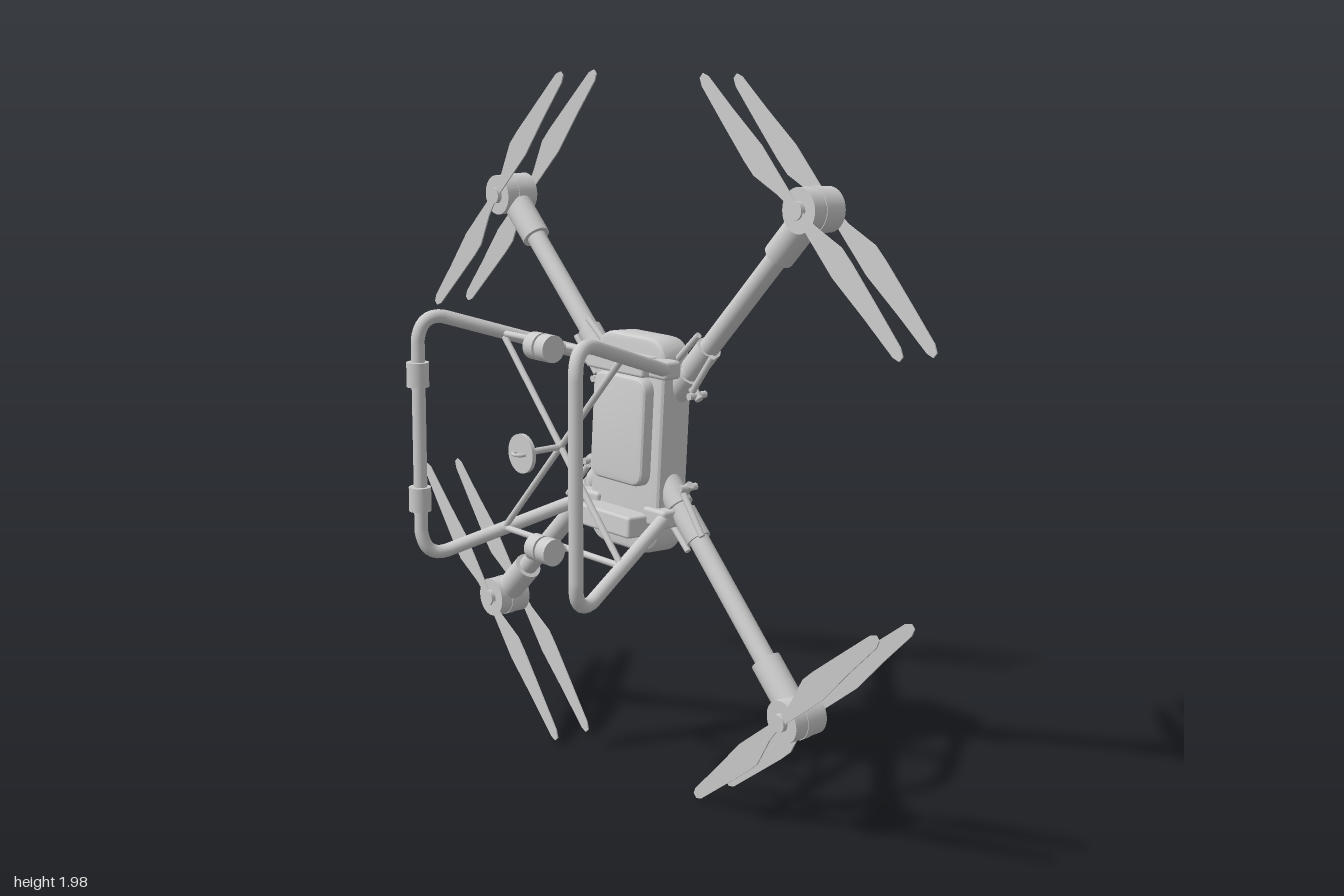
import * as THREE from 'three';
import { RoundedBoxGeometry } from 'three/addons/geometries/RoundedBoxGeometry.js';
import { toCreasedNormals } from 'three/addons/utils/BufferGeometryUtils.js';

const mat = new THREE.MeshStandardMaterial({ color: 0xcccccc });
const V = (x, y, z) => new THREE.Vector3(x, y, z);
const Y = V(0, 1, 0);

function add(parent, name, geo, x = 0, y = 0, z = 0) {
  const m = new THREE.Mesh(geo, mat);
  m.name = name;
  m.position.set(x, y, z);
  parent.add(m);
  return m;
}

// Cylinder running between two points
function rod(parent, name, a, b, r, r2 = r, sides = 24) {
  const m = add(parent, name, new THREE.CylinderGeometry(r2, r, a.distanceTo(b), sides));
  m.position.copy(a).lerp(b, 0.5);
  m.quaternion.setFromUnitVectors(Y, b.clone().sub(a).normalize());
  return m;
}

function roundedRect(w, h, r) {
  const s = new THREE.Shape(), x = w / 2, y = h / 2;
  s.moveTo(-x + r, -y).lineTo(x - r, -y).quadraticCurveTo(x, -y, x, -y + r);
  s.lineTo(x, y - r).quadraticCurveTo(x, y, x - r, y);
  s.lineTo(-x + r, y).quadraticCurveTo(-x, y, -x, y - r);
  s.lineTo(-x, -y + r).quadraticCurveTo(-x, -y, -x + r, -y);
  return s;
}

// Bevelled slab from z0 to z1
function slab(parent, name, w, h, r, z0, z1, bevel, y = 0) {
  const geo = new THREE.ExtrudeGeometry(roundedRect(w - 2 * bevel, h - 2 * bevel, r), {
    depth: z1 - z0 - 2 * bevel, bevelSize: bevel, bevelThickness: bevel, bevelSegments: 3, curveSegments: 8,
  });
  return add(parent, name, toCreasedNormals(geo, 0.5), 0, y, z0 + bevel);
}

// Two-bladed propeller lying along its local x axis
function propellerGeometry(len) {
  const half = [[0.03, 0.013], [0.07, 0.018], [0.17, 0.046], [0.22, 0.044], [0.34, 0.032], [len - 0.02, 0.018], [len, 0.008]];
  const low = [[len, -0.008], [len - 0.02, -0.016], [0.34, -0.02], [0.2, -0.028], [0.07, -0.017], [0.03, -0.013]];
  const side = [...half, ...low];
  const pts = [...side.map(([x, y]) => new THREE.Vector2(x, y)), ...side.map(([x, y]) => new THREE.Vector2(-x, -y))];
  const geo = new THREE.ExtrudeGeometry(new THREE.Shape(pts.reverse()), { depth: 0.004, bevelEnabled: false });
  return geo.translate(0, 0, -0.002);
}

function buildBody(g) {
  const body = new THREE.Group();
  body.name = 'body';
  body.position.set(-0.01, 0.985, -0.2);
  body.rotation.x = -0.05;
  g.add(body);
  slab(body, 'mainShell', 0.29, 0.6, 0.06, -0.06, 0.04, 0.015);
  slab(body, 'frontPlate', 0.22, 0.3, 0.03, 0.03, 0.075, 0.012, 0.04);
  slab(body, 'battery', 0.21, 0.31, 0.02, -0.108, -0.05, 0.02, -0.005);
  slab(body, 'batteryPanel', 0.14, 0.22, 0.01, -0.112, -0.1, 0.003, -0.005);
  add(body, 'upperFrontBox', new RoundedBoxGeometry(0.24, 0.055, 0.08, 2, 0.008), 0, 0.225, 0.055);
  add(body, 'lowerFrontBox', new RoundedBoxGeometry(0.23, 0.06, 0.09, 2, 0.008), 0, -0.215, 0.07);
  add(body, 'upperBackHandle', new RoundedBoxGeometry(0.2, 0.05, 0.035, 2, 0.008), 0, 0.2, -0.068);
  add(body, 'lowerBackLedge', new RoundedBoxGeometry(0.2, 0.035, 0.025, 2, 0.008), 0, -0.2, -0.063);
  for (const s of [-1, 1]) {
    add(body, 'sideRail', new RoundedBoxGeometry(0.02, 0.44, 0.02, 2, 0.005), s * 0.125, 0, -0.06);
    // Rear sensor pair
    rod(body, 'rearSensor', V(s * 0.045, -0.265, -0.04), V(s * 0.045, -0.265, -0.09), 0.026);
    rod(body, 'rearSensorLens', V(s * 0.045, -0.265, -0.09), V(s * 0.045, -0.265, -0.098), 0.018);
  }
}

// Each arm: both tips of the front propeller; the rear one sits 0.117 behind
const ARMS = [
  { a: V(0.23, 1.985, -0.207), b: V(0.97, 1.35, -0.17) },
  { a: V(-0.3, 1.98, -0.17), b: V(-0.98, 1.26, -0.207) },
  { a: V(-0.985, 0.745, -0.16), b: V(-0.3, 0.03, -0.144) },
  { a: V(0.985, 0.685, -0.106), b: V(0.255, 0.02, -0.197) },
];

function buildArm(g, { a, b }) {
  const arm = new THREE.Group();
  arm.name = 'arm';
  g.add(arm);
  const dir = b.clone().sub(a).normalize();
  const axis = V(0, 0, 1).addScaledVector(dir, -dir.z).normalize();
  const basis = new THREE.Matrix4().makeBasis(dir, axis.clone().cross(dir), axis);
  const front = a.clone().lerp(b, 0.5);
  const back = front.clone().addScaledVector(axis, -0.117);
  const mid = front.clone().lerp(back, 0.5);

  // Motor and its two propellers
  rod(arm, 'motor', back.clone().addScaledVector(axis, 0.006), front.clone().addScaledVector(axis, -0.006), 0.058, 0.058, 32);
  rod(arm, 'motorBand', mid.clone().addScaledVector(axis, -0.012), mid.clone().addScaledVector(axis, 0.012), 0.06, 0.06, 32);
  for (const p of [front, back]) {
    const prop = add(arm, 'propeller', propellerGeometry(a.distanceTo(b) / 2), p.x, p.y, p.z);
    prop.quaternion.setFromRotationMatrix(basis);
    rod(arm, 'propellerHub', p.clone().addScaledVector(axis, -0.008), p.clone().addScaledVector(axis, 0.008), 0.024);
  }

  // Tube, motor sleeve and folding joint
  const root = V(-0.01, 1.01, mid.y > 1 ? -0.24 : -0.21);
  const out = mid.clone().sub(root), length = out.length();
  const at = (d) => root.clone().addScaledVector(out, d / length);
  rod(arm, 'armTube', at(0.12), at(length - 0.03), 0.028);
  rod(arm, 'motorSleeve', at(length - 0.17), at(length - 0.03), 0.041);
  rod(arm, 'armSocket', at(0.1), at(0.25), 0.038);
  rod(arm, 'jointCollar', at(0.27), at(0.36), 0.035);
  const u = out.clone().normalize(), w = V(-u.y, u.x, 0).normalize();
  for (const s of [-1, 1]) {
    const off = (d, k, z = 0) => at(d).addScaledVector(w, s * k).add(V(0, 0, z));
    rod(arm, 'jointLug', off(0.23, 0.02), off(0.23, 0.075), 0.014, 0.012, 12);
    rod(arm, 'jointPin', off(0.23, 0.06, -0.03), off(0.23, 0.06, 0.03), 0.01, 0.01, 12);
    rod(arm, 'latchLever', off(0.24, 0.05, 0.015), off(0.37, 0.038, 0.02), 0.009, 0.009, 12);
  }
}

// Landing frame: a U of bent tube on each side
function buildGear(g) {
  const cy = 1.005;
  for (const s of [-1, 1]) {
    const gx = (x) => s * x - 0.01;
    const top = [V(gx(0.165), cy + 0.205, -0.16), V(gx(0.318), cy + 0.33, 0.22),
      V(gx(0.334), cy + 0.345, 0.285), V(gx(0.342), cy + 0.27, 0.292)];
    const bottom = top.map((p) => V(p.x, 2 * cy - p.y, p.z));
    const path = new THREE.CurvePath();
    path.add(new THREE.LineCurve3(top[0], top[1]));
    path.add(new THREE.QuadraticBezierCurve3(top[1], top[2], top[3]));
    path.add(new THREE.LineCurve3(top[3], bottom[3]));
    path.add(new THREE.QuadraticBezierCurve3(bottom[3], bottom[2], bottom[1]));
    path.add(new THREE.LineCurve3(bottom[1], bottom[0]));
    add(g, 'landingFrame', new THREE.TubeGeometry(path, 120, 0.019, 16));
    for (const p of [top[0], bottom[0]]) {
      add(g, 'frameMount', new RoundedBoxGeometry(0.09, 0.05, 0.06, 2, 0.01), p.x - s * 0.025, p.y, p.z - 0.01);
    }
  }
  // Clamps on one side only
  for (const y of [1.18, 0.83]) rod(g, 'frameClamp', V(-0.352, y - 0.034, 0.294), V(-0.352, y + 0.034, 0.294), 0.031);

  // Crossbars, diagonal braces and the units they carry
  const z = 0.068;
  for (const s of [-1, 1]) {
    const y = cy + s * 0.277;
    rod(g, 'crossbar', V(-0.265, y, z), V(0.245, y, z), 0.009, 0.009, 12);
    rod(g, 'diagonalBrace', V(-0.265, cy - s * 0.277, z), V(0.245, y, z), 0.009, 0.009, 12);
    for (const k of [-1, 1]) {
      rod(g, 'spotlight', V(-0.01 + k * 0.004, y, 0.125), V(-0.01 + k * 0.043, y, 0.125), 0.037);
      rod(g, 'spotlightBracket', V(-0.01 + k * 0.025, y, z), V(-0.01 + k * 0.025, y, 0.12), 0.01, 0.01, 12);
    }
    rod(g, 'spotlightAxle', V(-0.045, y, 0.125), V(0.025, y, 0.125), 0.022);
  }

  // Central disc on a stalk
  rod(g, 'discStalk', V(-0.01, cy, z - 0.01), V(-0.01, cy, 0.2), 0.009, 0.009, 12);
  rod(g, 'centreDisc', V(-0.01, cy, 0.192), V(-0.01, cy, 0.204), 0.053, 0.053, 32);
  add(g, 'discHandle', new THREE.TorusGeometry(0.02, 0.005, 8, 16, Math.PI), -0.01, cy, 0.204).rotation.x = Math.PI / 2;
}

export function createModel() {
  const g = new THREE.Group();
  g.name = 'quadcopter';
  buildBody(g);
  ARMS.forEach((arm) => buildArm(g, arm));
  buildGear(g);
  return g;
}
